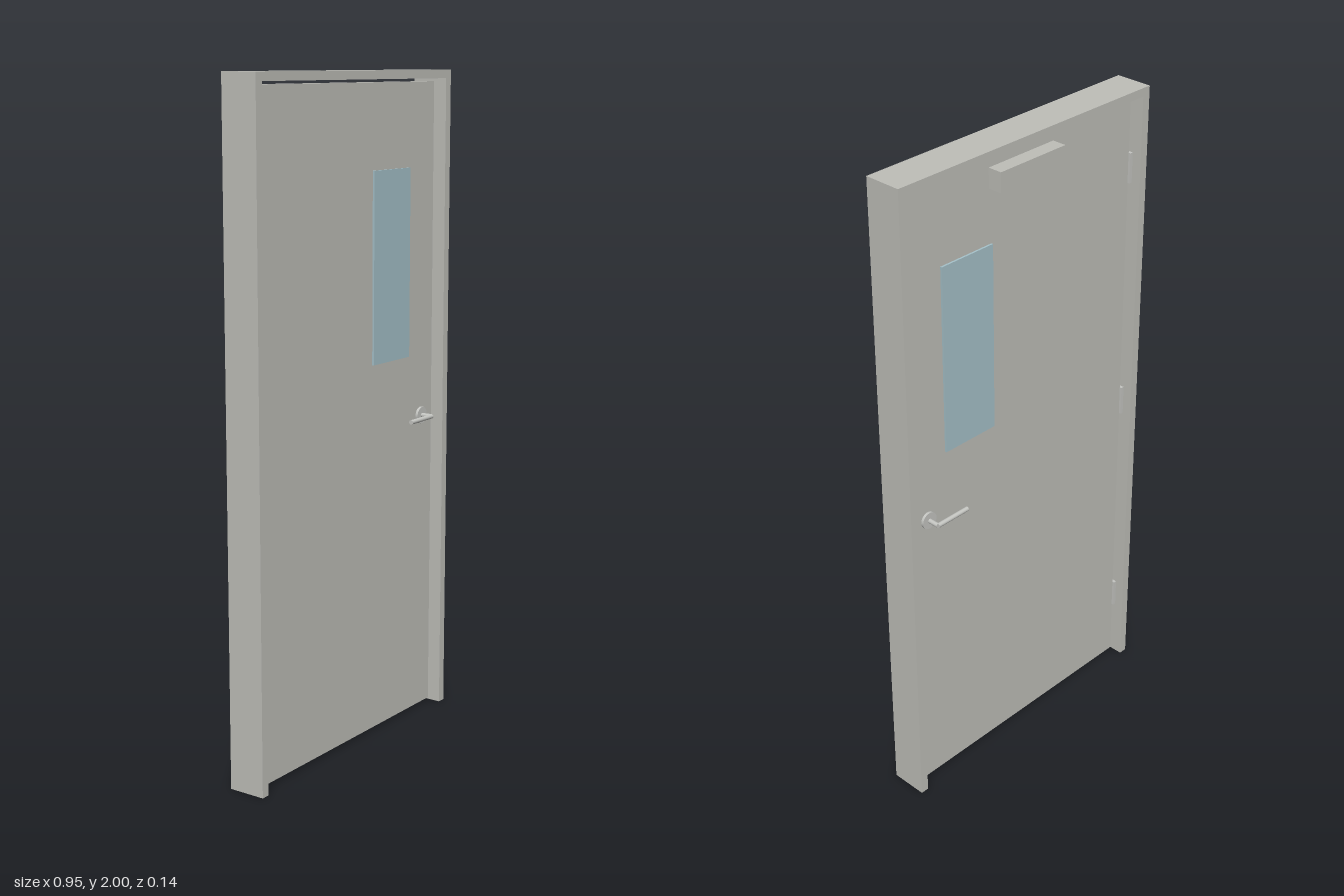
import * as THREE from 'three';

export function createModel() {
  const model = new THREE.Group();
  const material = (name, color) => {
    const m = new THREE.MeshStandardMaterial({ color });
    m.name = name;
    return m;
  };
  const paint = material('greyPaint', 0xbebeb8);
  const steel = material('steel', 0xc4c5c1);
  const glass = material('paleBlueGlass', 0xa5c1c9);

  const add = (name, geometry, mat, x, y, z, parent = model) => {
    const mesh = new THREE.Mesh(geometry, mat);
    mesh.name = name;
    mesh.position.set(x, y, z);
    parent.add(mesh);
    return mesh;
  };
  // Box given by its minimum and maximum corners
  const box = (name, mat, [x0, y0, z0], [x1, y1, z1]) =>
    add(name, new THREE.BoxGeometry(x1 - x0, y1 - y0, z1 - z0), mat,
      (x0 + x1) / 2, (y0 + y1) / 2, (z0 + z1) / 2);

  const midZ = -0.002; // centre plane of frame and door

  // Frame: one inverted U, open at the floor
  const outline = new THREE.Shape([
    [-0.475, 0], [-0.449, 0], [-0.449, 1.975], [0.449, 1.975],
    [0.449, 0], [0.475, 0], [0.475, 2], [-0.475, 2],
  ].map(([x, y]) => new THREE.Vector2(x, y)));
  const frame = new THREE.ExtrudeGeometry(outline, { depth: 0.114, bevelEnabled: false });
  add('frame', frame, paint, 0, 0, midZ - 0.057);

  // Door leaf, with a clearance to the frame all round
  box('doorLeaf', paint, [-0.44, 0.009, midZ - 0.02], [0.44, 1.966, midZ + 0.02]);

  // Vision panel standing slightly proud of both faces
  box('windowPane', glass, [0.115, 1.145, midZ - 0.026], [0.305, 1.715, midZ + 0.026]);

  // Hinges in the clearance on the right-hand edge
  for (const y of [0.24, 0.985, 1.755]) {
    box('hinge', steel, [-0.449, y - 0.046, midZ - 0.027], [-0.439, y + 0.046, midZ + 0.02]);
  }

  // Door closer on the back
  box('doorCloser', paint, [-0.123, 1.875, -0.066], [0.123, 1.934, midZ - 0.02]);

  // Lever handles, one on each face
  for (const side of [1, -1]) {
    const handle = new THREE.Group();
    handle.name = side > 0 ? 'frontHandle' : 'backHandle';
    handle.position.set(0.378, 0.952, midZ);
    model.add(handle);
    const round = (name, radius, length, x, z) =>
      add(name, new THREE.CylinderGeometry(radius, radius, length, 24), steel, x, 0, z * side, handle);
    round('rosette', 0.026, 0.008, 0, 0.024).rotation.x = Math.PI / 2;
    round('neck', 0.007, 0.042, 0, 0.041).rotation.x = Math.PI / 2;
    round('lever', 0.007, 0.115, -0.0565, 0.0615).rotation.z = Math.PI / 2;
  }

  return model;
}
